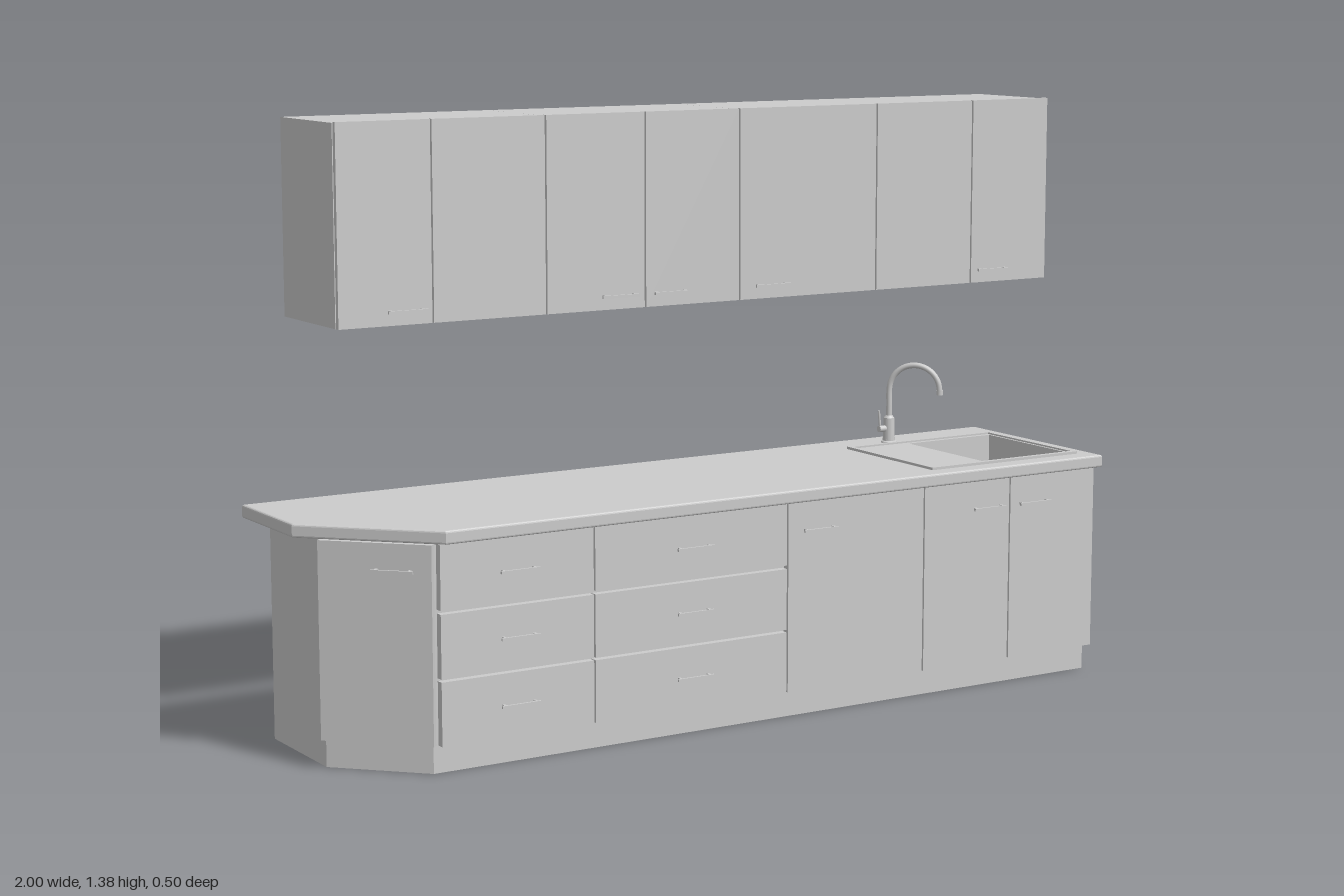
import * as THREE from 'three';

const mat = new THREE.MeshStandardMaterial({ color: 0xcccccc });

function add(parent, name, geometry) {
  const mesh = new THREE.Mesh(geometry, mat);
  mesh.name = name;
  parent.add(mesh);
  return mesh;
}

// Box given by its limits on each axis
function box(parent, name, x0, x1, y0, y1, z0, z1) {
  const mesh = add(parent, name, new THREE.BoxGeometry(x1 - x0, y1 - y0, z1 - z0));
  mesh.position.set((x0 + x1) / 2, (y0 + y1) / 2, (z0 + z1) / 2);
  return mesh;
}

// Floor-plan outline of [x, z] points raised from y0 to y1, with optional holes and edge bevel
function slab(parent, name, outline, y0, y1, holes = [], bevel = 0) {
  const points = (list) => list.map(([x, z]) => new THREE.Vector2(x, -z));
  const shape = new THREE.Shape(points(outline));
  holes.forEach((h) => shape.holes.push(new THREE.Path(points(h))));
  const geometry = new THREE.ExtrudeGeometry(shape, {
    depth: y1 - y0 - 2 * bevel,
    bevelEnabled: bevel > 0,
    bevelSize: bevel,
    bevelThickness: bevel,
    bevelOffset: -bevel,
    bevelSegments: 3,
  });
  geometry.rotateX(-Math.PI / 2).translate(0, y0 + bevel, 0);
  return add(parent, name, geometry);
}

const rect = (x0, x1, z0, z1) => [[x0, z0], [x0, z1], [x1, z1], [x1, z0]];

// Rectangle with the front corner cut off at its -x end
const cutCorner = (x0, cutZ, cutX, zFront) =>
  [[x0, -0.25], [x0, cutZ], [cutX, zFront], [1, zFront], [1, -0.25]];

// Bar handle on two posts, centred on x, standing on the plane z
function handle(parent, x, y, z, length = 0.094) {
  const group = new THREE.Group();
  group.name = 'handle';
  box(group, 'handleBar', -length / 2, length / 2, -0.003, 0.003, 0.01, 0.015);
  for (const s of [-1, 1]) {
    const px = s * length * 0.4;
    box(group, 'handlePost', px - 0.003, px + 0.003, -0.003, 0.003, 0, 0.011);
  }
  group.position.set(x, y, z);
  parent.add(group);
}

// Door or drawer front, with a fine gap round it
function front(parent, name, x0, x1, y0, y1, zBack, zFront, handleX, handleY) {
  const g = 0.002;
  box(parent, name, x0 + g, x1 - g, y0, y1, zBack, zFront);
  if (handleX !== undefined) handle(parent, handleX, handleY, zFront);
}

function wallCabinets() {
  const group = new THREE.Group();
  group.name = 'wallCabinets';
  const edges = [-0.89, -0.387, 0.115, 0.495, 1];
  for (let i = 0; i < 4; i++) {
    box(group, 'wallCabinet', edges[i] + 0.0005, edges[i + 1], 0.94, 1.373, -0.25, 0.008);
  }
  // Doors: left edge, right edge, handle position
  const doors = [
    [-0.89, -0.665, -0.73], [-0.665, -0.387], [-0.387, -0.135, -0.205],
    [-0.135, 0.115, -0.07], [0.115, 0.495, 0.2], [0.495, 0.773], [0.773, 1, 0.835],
  ];
  for (const [x0, x1, hx] of doors) {
    front(group, 'wallDoor', x0, x1, 0.94, 1.375, 0.009, 0.02, hx, 0.97);
  }
  return group;
}

function baseCabinets() {
  const group = new THREE.Group();
  group.name = 'baseCabinets';
  const sinkHole = rect(0.688, 0.952, -0.124, 0.192);
  slab(group, 'plinth', cutCorner(-0.935, 0.02, -0.765, 0.19), 0, 0.065);
  const plan = cutCorner(-0.935, 0.03, -0.765, 0.2);
  slab(group, 'carcass', plan, 0.065, 0.41);
  slab(group, 'carcassTop', plan, 0.41, 0.506, [sinkHole]);
  slab(group, 'worktop', cutCorner(-1, 0.01, -0.76, 0.25), 0.505, 0.535, [sinkHole], 0.005);

  // Two stacks of three drawers
  for (const [x0, x1, hx] of [[-0.762, -0.387, -0.575], [-0.387, 0.115, -0.135]]) {
    for (const [y0, y1, hy] of [[0.065, 0.205, 0.135], [0.211, 0.351, 0.283], [0.359, 0.5, 0.428]]) {
      front(group, 'drawerFront', x0, x1, y0, y1, 0.204, 0.222, hx, hy);
    }
  }
  // Doors below the plain worktop and the sink
  for (const [x0, x1, hx] of [[0.115, 0.495, 0.2], [0.495, 0.745, 0.68], [0.745, 1, 0.815]]) {
    front(group, 'baseDoor', x0, x1, 0.065, 0.5, 0.204, 0.222, hx, 0.435);
  }
  // Angled end door
  const angled = new THREE.Group();
  angled.name = 'angledDoor';
  front(angled, 'angledDoorPanel', -0.128, 0.128, 0.065, 0.5, -0.015, 0, 0.042, 0.442);
  angled.position.set(-0.865, 0, 0.125);
  angled.rotation.y = -Math.PI / 4;
  group.add(angled);
  return group;
}

function sink() {
  const group = new THREE.Group();
  group.name = 'sink';
  const bowl = rect(0.697, 0.943, -0.116, 0.184);
  // Raised lip, lower deck, drainer ribs and the bowl
  slab(group, 'sinkLip', rect(0.53, 0.96, -0.14, 0.205), 0.534, 0.541,
    [rect(0.542, 0.949, -0.128, 0.193)]);
  slab(group, 'sinkDeck', rect(0.54, 0.951, -0.13, 0.195), 0.533, 0.537, [bowl]);
  slab(group, 'bowlWalls', rect(0.69, 0.95, -0.122, 0.19), 0.415, 0.5365, [bowl]);
  box(group, 'bowlFloor', 0.69, 0.95, 0.411, 0.419, -0.122, 0.19);
  const drain = add(group, 'drain', new THREE.CylinderGeometry(0.022, 0.022, 0.003, 24));
  drain.position.set(0.82, 0.42, 0.034);
  return group;
}

function tap() {
  const group = new THREE.Group();
  group.name = 'tap';
  // Turned body
  const profile = [[0, 0], [0.019, 0], [0.019, 0.004], [0.015, 0.006], [0.013, 0.062], [0.008, 0.068], [0, 0.068]]
    .map(([r, y]) => new THREE.Vector2(r, y));
  const body = new THREE.LatheGeometry(profile, 24).toNonIndexed();
  body.computeVertexNormals();
  add(group, 'tapBody', body);
  // Swan-neck spout, curving in the local x-y plane
  const r = 0.062;
  const points = [new THREE.Vector3(0, 0.06, 0), new THREE.Vector3(0, 0.095, 0)];
  for (let i = 0; i <= 10; i++) {
    const a = Math.PI * (1 - i / 10);
    points.push(new THREE.Vector3(r + r * Math.cos(a), 0.131 + r * Math.sin(a), 0));
  }
  const spout = add(group, 'spout',
    new THREE.TubeGeometry(new THREE.CatmullRomCurve3(points), 48, 0.007, 12));
  const nozzle = add(group, 'nozzle', new THREE.CylinderGeometry(0.008, 0.008, 0.012, 16));
  nozzle.position.set(2 * r, 0.128, 0);
  spout.rotation.y = 0;
  // Side lever
  const lever = new THREE.Group();
  lever.name = 'lever';
  const hub = add(lever, 'leverHub', new THREE.CylinderGeometry(0.008, 0.008, 0.024, 16));
  hub.rotation.z = Math.PI / 2;
  hub.position.set(-0.018, 0.036, 0);
  const arm = add(lever, 'leverArm', new THREE.CylinderGeometry(0.003, 0.003, 0.05, 10));
  arm.position.set(-0.028, 0.056, 0);
  arm.rotation.z = 0.1;
  lever.rotation.y = Math.PI / 4;
  group.add(lever);
  group.rotation.y = -Math.PI / 4;
  group.position.set(0.675, 0.534, -0.17);
  return group;
}

export function createModel() {
  const model = new THREE.Group();
  model.name = 'kitchenUnits';
  model.add(wallCabinets(), baseCabinets(), sink(), tap());
  return model;
}
